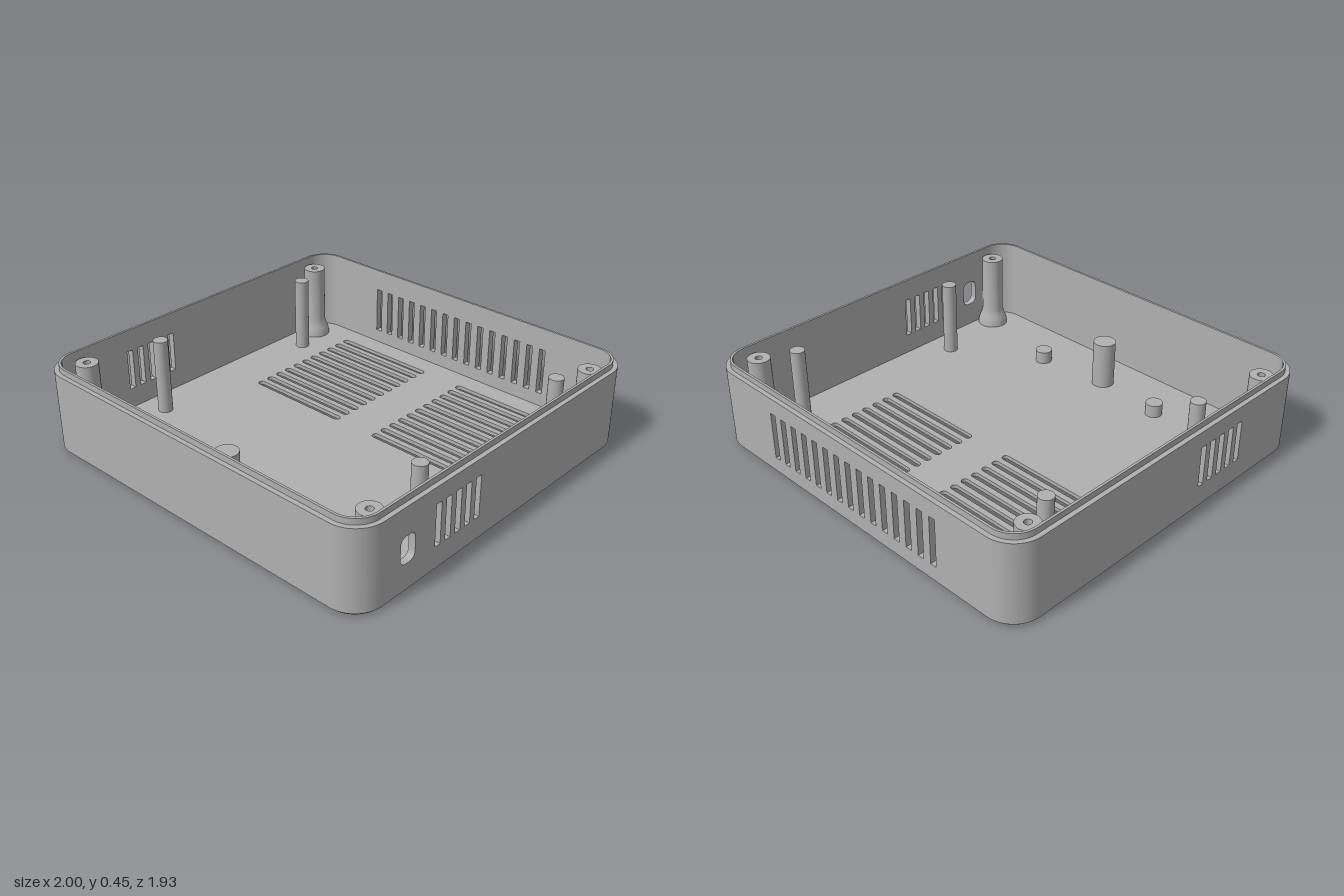
import * as THREE from 'three';
import { toCreasedNormals } from 'three/addons/utils/BufferGeometryUtils.js';

const HX = 1, HZ = 0.965, R = 0.15;        // outer half sizes and corner radius
const WALL = 0.035, FLOOR = 0.02, CHAMFER = 0.014, WALL_TOP = 0.42, LIP_TOP = 0.45;

// Rounded rectangle (square corners when r is 0) drawn on a Shape or Path
function roundRect(path, cx, cy, w, h, r = 0) {
  const x = w / 2 - r, y = h / 2 - r;
  [[1, 1], [-1, 1], [-1, -1], [1, -1]].forEach(([sx, sy], k) => {
    if (r) path.absarc(cx + sx * x, cy + sy * y, r, k * Math.PI / 2, (k + 1) * Math.PI / 2, false);
    else if (k) path.lineTo(cx + sx * x, cy + sy * y);
    else path.moveTo(cx + sx * x, cy + sy * y);
  });
  path.closePath();
  return path;
}

const outline = (path, inset) =>
  roundRect(path, 0, 0, 2 * (HX - inset), 2 * (HZ - inset), R - inset);

function circle(x, y, r) {
  return new THREE.Path().absarc(x, y, r, 0, Math.PI * 2, false);
}

function extrude(shape, depth) {
  const g = new THREE.ExtrudeGeometry(shape, { depth, bevelEnabled: false, curveSegments: 16 });
  return toCreasedNormals(g, 0.5);
}

// Extrude a plan drawn in x, z between two heights
function extrudeUp(shape, y0, y1) {
  return extrude(shape, y1 - y0).rotateX(Math.PI / 2).translate(0, y1, 0);
}

// Sloped band between two insets of the outline
function chamferBand() {
  const low = outline(new THREE.Shape(), CHAMFER).getPoints(16);
  const high = outline(new THREE.Shape(), 0).getPoints(16);
  const pos = [], index = [];
  low.forEach((p, i) => pos.push(p.x, 0, p.y, high[i].x, CHAMFER, high[i].y));
  for (let i = 0; i < low.length; i++) {
    const a = 2 * i, b = 2 * ((i + 1) % low.length);
    index.push(a, a + 1, b, b, a + 1, b + 1);
  }
  const g = new THREE.BufferGeometry();
  g.setAttribute('position', new THREE.Float32BufferAttribute(pos, 3));
  g.setIndex(index);
  return toCreasedNormals(g, 0.5);
}

// Straight wall panel with openings given as [u, y, width, height, radius]
function wallPanel(length, openings) {
  const h = WALL_TOP - CHAMFER;
  const shape = roundRect(new THREE.Shape(), 0, CHAMFER + h / 2, length, h);
  openings.forEach(o => shape.holes.push(roundRect(new THREE.Path(), ...o)));
  return extrude(shape, WALL);
}

export function createModel() {
  const model = new THREE.Group();
  const plastic = new THREE.MeshStandardMaterial({ color: 0xb0b0b0 });
  plastic.name = 'grey plastic';

  const add = (name, geometry, x = 0, y = 0, z = 0) => {
    const mesh = new THREE.Mesh(geometry, plastic);
    mesh.name = name;
    mesh.position.set(x, y, z);
    model.add(mesh);
    return mesh;
  };

  const posts = [[0.895, 0.782], [-0.895, 0.782], [-0.895, -0.782], [0.895, -0.782]];

  // Floor with two vent grilles, screw recesses and two pilot holes
  const floor = outline(new THREE.Shape(), CHAMFER);
  for (const side of [-1, 1]) {
    for (let i = 0; i < 11; i++) {
      floor.holes.push(roundRect(new THREE.Path(), side * 0.4, -0.805 + i * 0.0666, 0.575, 0.036, 0.0179));
    }
    floor.holes.push(circle(side * 0.38, 0.664, 0.008));
  }
  posts.forEach(([x, z]) => floor.holes.push(circle(x, z, 0.055)));
  add('floor', extrudeUp(floor, 0, FLOOR));
  add('bottomChamfer', chamferBand());

  // Straight walls
  const backSlots = [], sideSlots = [];
  for (let i = 0; i < 15; i++) backSlots.push([(i - 7) * 0.0768, 0.213, 0.034, 0.245]);
  for (let i = 0; i < 5; i++) sideSlots.push([-0.214 - i * 0.0658, 0.23, 0.034, 0.21]);
  const port = [-0.668, 0.212, 0.09, 0.135, 0.032];
  const lengthX = 2 * (HX - R), lengthZ = 2 * (HZ - R);
  add('frontWall', wallPanel(lengthX, []), 0, 0, HZ - WALL);
  add('backWall', wallPanel(lengthX, backSlots), 0, 0, -HZ);
  add('portWall', wallPanel(lengthZ, [...sideSlots, port]).rotateY(Math.PI / 2), HX - WALL);
  add('ventWall', wallPanel(lengthZ, sideSlots).rotateY(Math.PI / 2), -HX);

  // Rounded corner walls
  const arc = new THREE.Shape();
  arc.absarc(0, 0, R, 0, Math.PI / 2, false);
  arc.absarc(0, 0, R - WALL, Math.PI / 2, 0, true);
  arc.closePath();
  const cornerGeometry = extrudeUp(arc, CHAMFER, WALL_TOP);
  posts.forEach(([x, z], k) => {
    const corner = add('cornerWall', cornerGeometry, Math.sign(x) * (HX - R), 0, Math.sign(z) * (HZ - R));
    corner.rotation.y = -k * Math.PI / 2;
  });

  // Raised lip that locates the lid
  const lip = outline(new THREE.Shape(), 0.023);
  lip.holes.push(outline(new THREE.Path(), WALL));
  add('lip', extrudeUp(lip, WALL_TOP, LIP_TOP));

  // Hollow screw posts with flared feet and recesses from below
  const profile = [
    [0.08, FLOOR], [0.078, 0.045], [0.072, 0.065], [0.063, 0.085], [0.057, 0.11], [0.056, 0.413],
    [0.018, 0.413], [0.018, 0.06], [0.055, 0.06], [0.055, 0],
  ].map(([r, y]) => new THREE.Vector2(r, y));
  const postGeometry = toCreasedNormals(new THREE.LatheGeometry(profile, 40), 0.6);
  posts.forEach(([x, z]) => add('screwPost', postGeometry, x, 0, z));

  // Solid support pins: x, z, radius, top height
  const pins = [[0, 0.713, 0.057, 0.265]];
  for (const side of [-1, 1]) {
    pins.push([side * 0.826, -0.607, 0.037, 0.413], [side * 0.826, 0.39, 0.037, 0.413],
      [side * 0.38, 0.664, 0.043, 0.085]);
  }
  for (const [x, z, r, top] of pins) {
    const h = top - FLOOR;
    add('supportPin', new THREE.CylinderGeometry(r, r, h, 32), x, FLOOR + h / 2, z);
  }
  return model;
}
